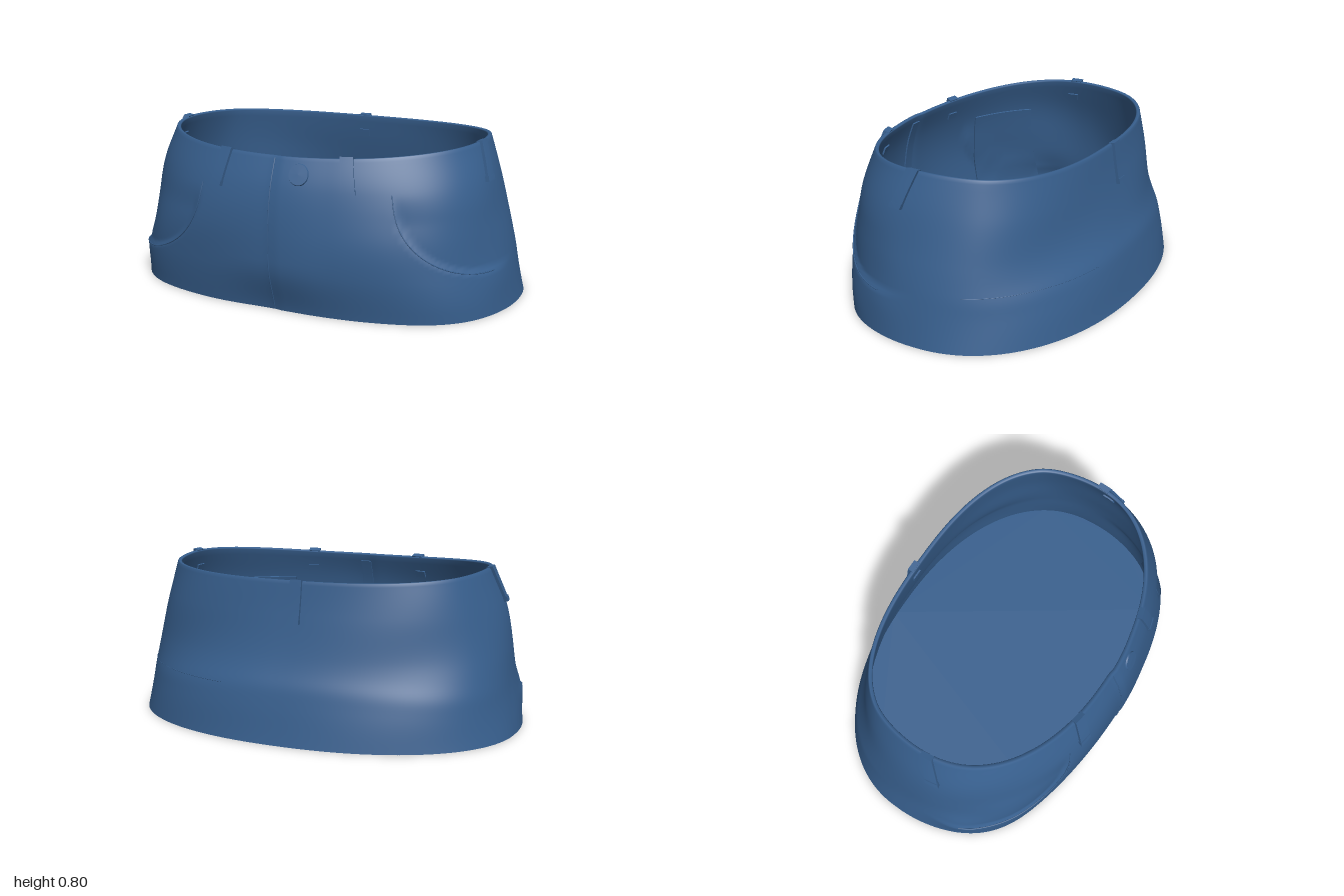
import * as THREE from 'three';

const denim = new THREE.MeshStandardMaterial({ color: 0x38608f, side: THREE.DoubleSide });
const PI = Math.PI;
const step = THREE.MathUtils.smoothstep;

// Half width, front depth and back depth at heights 0, 0.2, 0.4, 0.6, 0.8
const profile = new THREE.CatmullRomCurve3([
  [1.0, 0.65, -0.69], [0.965, 0.685, -0.65], [0.93, 0.69, -0.58],
  [0.885, 0.655, -0.54], [0.815, 0.58, -0.505],
].map((p) => new THREE.Vector3(...p)), false, 'catmullrom', 0.5);

// Pocket mouths: rounded quarter curves in (angle from the side, height)
const pockets = [
  { name: 'leftPocket', side: (t) => t, start: 0.25, span: 0.67, top: 0.6, drop: 0.39, lip: 0.005 },
  { name: 'rightPocket', side: (t) => PI - t, start: 0.4, span: 0.75, top: 0.58, drop: 0.42, lip: 0.02 },
];

const rimHeight = (t) => {
  const s = Math.sin(t);
  return s > 0 ? 0.786 - 0.044 * s * s : 0.786 - 0.03 * Math.pow(-s, 1.5);
};

const bump = (v, centre, width) => Math.exp(-(((v - centre) / width) ** 2));

// Cloth relief: pocket recesses and lips, fly overlap, leg bulges, soft folds
function relief(angle, y) {
  const t = Math.atan2(Math.sin(angle + PI / 2), Math.cos(angle + PI / 2)) - PI / 2;
  const turn = t < -PI ? t + 2 * PI : t;
  let d = 0;
  for (const p of pockets) {
    const a = p.side(turn);
    const u = Math.abs((a - p.start) / p.span), v = Math.abs((y - p.top) / p.drop);
    const q = Math.pow(u ** 2.5 + v ** 2.5, 0.4);
    d -= 0.014 * q * q * (1 - step(q, 0.95, 1.01)) * step(p.top - y, 0, 0.15) * step(a, p.start - 0.3, p.start + 0.1);
    d += p.lip * bump(a, p.start, 0.17) * bump(y, 0.17, 0.09);
    // Leg bulge at the front corner
    d += 0.045 * bump(a, 0.72, 0.38) * (1 - step(y, 0.05, 0.5));
  }
  const front = angle - PI / 2;
  d += 0.007 * (1 - step(front, -0.012, 0.004)) * step(front, -0.3, -0.05);
  d -= 0.025 * bump(front, 0, 0.22) * (1 - step(y, 0, 0.25));
  const back = Math.max(0, -Math.sin(angle));
  d += 0.004 * back * bump(y, 0.25 + 0.02 * Math.sin(3 * angle), 0.05);
  d += 0.005 * Math.sin(5 * angle + 9 * y) * Math.sin(PI * Math.min(1, y / 0.75));
  return d;
}

// Point on the outside of the cloth; the back is squarer towards the top
function base(t, y) {
  const h = THREE.MathUtils.clamp(y / 0.8, 0, 1);
  const p = profile.getPoint(h);
  const n = 2.2 + 0.35 * h * step(-Math.sin(t), 0, 0.5);
  const power = (v) => Math.sign(v) * Math.pow(Math.abs(v), 2 / n);
  const mid = (p.y + p.z) / 2, depth = (p.y - p.z) / 2, d = relief(t, y);
  return new THREE.Vector3(
    p.x * power(Math.cos(t)) + d * Math.cos(t), y,
    mid + depth * power(Math.sin(t)) + d * Math.sin(t));
}

// Point moved off the cloth along its normal
function surface(t, y, off = 0) {
  const p = base(t, y);
  if (off === 0) return p;
  const e = 0.02;
  const along = base(t + e, y).sub(base(t - e, y));
  const up = base(t, y + e).sub(base(t, y - e));
  return p.addScaledVector(up.cross(along).normalize(), off);
}

function add(parent, name, geometry) {
  const mesh = new THREE.Mesh(geometry, denim);
  mesh.name = name;
  parent.add(mesh);
}

const clothRate = (t, y) => surface(t + 0.05, y).distanceTo(surface(t - 0.05, y)) / 0.1;

// Lay a geometry on the cloth: its x runs around, y up, z outward
function conform(geometry, t0, y0, off, shear = 0) {
  const pos = geometry.attributes.position;
  const rate = clothRate(t0, y0);
  for (let i = 0; i < pos.count; i++) {
    const y = pos.getY(i);
    const x = pos.getX(i) + shear * y;
    const p = surface(t0 - x / rate, y0 + y, off + pos.getZ(i));
    pos.setXYZ(i, p.x, p.y, p.z);
  }
  geometry.computeVertexNormals();
  return geometry;
}

const box = (w, h, d) => new THREE.BoxGeometry(w, h, d, 8, 8, 1);

// Shell: outside upward, over the rim, down the inside
function shell() {
  const N = 240, rows = [];
  for (let i = 0; i <= 50; i++) rows.push([i / 50, 0]);
  rows.push([1.005, -0.004], [1.005, -0.016]);
  for (let i = 25; i >= 0; i--) rows.push([i / 25, -0.021]);
  const pos = [], idx = [];
  rows.forEach(([v, off], r) => {
    for (let i = 0; i < N; i++) {
      const t = (i / N) * 2 * PI - PI / 2;
      const p = surface(t, v * rimHeight(t), off);
      pos.push(p.x, Math.max(0, p.y), p.z);
      if (r === rows.length - 1) continue;
      const a = r * N + i, b = r * N + (i + 1) % N;
      idx.push(a, a + N, b, b, a + N, b + N);
    }
  });
  const g = new THREE.BufferGeometry();
  g.setAttribute('position', new THREE.Float32BufferAttribute(pos, 3));
  g.setIndex(idx);
  g.computeVertexNormals();
  return g;
}

function seam(parent, name, at, radius) {
  const pts = [];
  for (let i = 0; i <= 24; i++) pts.push(surface(...at(i / 24), 0.001));
  add(parent, name, new THREE.TubeGeometry(new THREE.CatmullRomCurve3(pts), 60, radius, 6));
}

function beltLoop(parent, name, t, height, shear) {
  const loop = new THREE.Group();
  loop.name = name;
  parent.add(loop);
  const rim = rimHeight(t), lean = shear * height / 2 / clothRate(t, rim - 0.1);
  add(loop, 'strap', conform(box(0.062, height, 0.014), t, rim - height / 2 + 0.004, 0.008, shear));
  add(loop, 'lowerFold', conform(box(0.066, 0.024, 0.02), t + lean, rim - height + 0.014, 0.01, shear));
  add(loop, 'upperFold', conform(box(0.062, 0.01, 0.03), t - lean, rim + 0.003, 0, shear));
  add(loop, 'innerTab', conform(box(0.06, 0.035, 0.01), t, rim - 0.09, -0.024));
}

export function createModel() {
  const model = new THREE.Group();
  model.name = 'denimWaist';
  add(model, 'shell', shell());

  // Flat base closing the lower edge
  const outline = [];
  for (let i = 0; i < 160; i++) {
    const p = base((i / 160) * 2 * PI - PI / 2, 0);
    outline.push(new THREE.Vector2(p.x, p.z));
  }
  add(model, 'base', new THREE.ShapeGeometry(new THREE.Shape(outline)).rotateX(PI / 2));

  // Fly, pocket and back seams, with the linings behind them
  seam(model, 'flySeam', (k) => [PI / 2, 0.004 + k * 0.73], 0.003);
  add(model, 'flyLining', conform(box(0.07, 0.62, 0.008), PI / 2 - 0.04, 0.4, -0.024));
  for (const p of pockets) {
    seam(model, p.name + 'Edge', (k) => [
      p.side(p.start + p.span * Math.pow(Math.cos(k * PI / 2), 0.8)),
      p.top - p.drop * Math.pow(Math.sin(k * PI / 2), 0.8)], 0.003);
    add(model, p.name + 'Lining', conform(box(0.4, 0.5, 0.008), p.side(0.78), 0.35, -0.03));
  }
  seam(model, 'backSeam', (k) => [-0.35 - k * 0.95, 0.26], 0.0015);

  // Button
  const button = new THREE.CylinderGeometry(0.046, 0.05, 0.01, 32).rotateX(PI / 2);
  add(model, 'button', conform(button, 1.44, 0.67, 0.002));

  // Belt loops
  beltLoop(model, 'frontLeftLoop', 1.176, 0.155, -0.06);
  beltLoop(model, 'frontRightLoop', 1.872, 0.17, 0.06);
  beltLoop(model, 'leftLoop', 0.07, 0.175, 0.2);
  beltLoop(model, 'rightLoop', PI - 0.1, 0.175, -0.2);
  beltLoop(model, 'backLoop', -PI / 2 - 0.03, 0.2, 0);
  return model;
}
